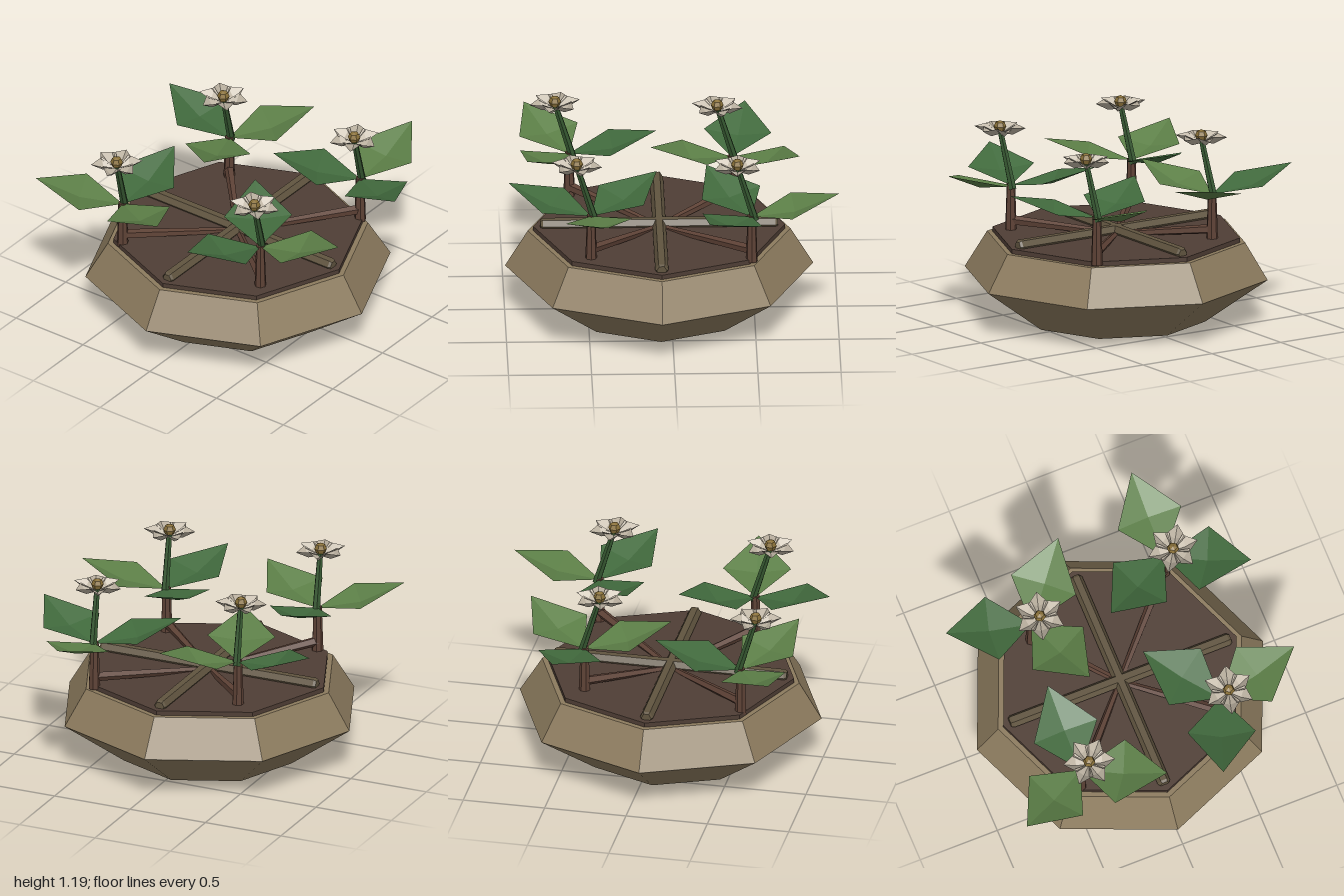
import * as THREE from 'three';

const flat = (color, side = THREE.FrontSide) =>
  new THREE.MeshStandardMaterial({ color, flatShading: true, side });

const MAT = {
  pot: flat(0x8c7b5e),
  soil: flat(0x4f3e35),
  beam: flat(0x60543f),
  wood: flat(0x5e4236),
  stem: flat(0x34552f),
  leafLight: flat(0x5c7f47, THREE.DoubleSide),
  leafDark: flat(0x416a3d, THREE.DoubleSide),
  petal: flat(0xbdb3a2, THREE.DoubleSide),
  core: flat(0x8a7139),
};

function part(name, geometry, material, x = 0, y = 0, z = 0) {
  const m = new THREE.Mesh(geometry, material);
  m.name = name;
  m.position.set(x, y, z);
  return m;
}

const lathe = (profile, sides) =>
  new THREE.LatheGeometry(profile.map(([r, y]) => new THREE.Vector2(r, y)), sides);

// Tapered rod between two points
function rod(name, a, b, rA, rB, sides, material) {
  const from = new THREE.Vector3(...a);
  const dir = new THREE.Vector3(...b).sub(from);
  const m = part(name, new THREE.CylinderGeometry(rB, rA, dir.length(), sides), material);
  m.position.copy(from).addScaledVector(dir, 0.5);
  m.quaternion.setFromUnitVectors(new THREE.Vector3(0, 1, 0), dir.normalize());
  return m;
}

// Folded kite blade along +x: base, two side corners, tip and a low middle point
function blade(length, tipY, sideX, sideY, halfWidth, midX, midY) {
  const g = new THREE.BufferGeometry();
  g.setAttribute('position', new THREE.Float32BufferAttribute([
    0, 0, 0,
    sideX, sideY, halfWidth,
    length, tipY, 0,
    sideX, sideY, -halfWidth,
    midX, midY, 0,
  ], 3));
  g.setIndex([4, 0, 1, 4, 1, 2, 4, 2, 3, 4, 3, 0]);
  g.computeVertexNormals();
  return g;
}

const leafGeo = blade(0.525, 0.145, 0.24, 0.068, 0.205, 0.26, 0.03);
const petalGeo = blade(0.157, 0.042, 0.08, 0.054, 0.06, 0.08, 0.0);

// Plant: trunk, three leaves, leaning stem and a six-petal flower
function plant({ x, z, turn, light, spin }) {
  const g = new THREE.Group();
  g.name = 'plant';
  g.position.set(x, 0, z);
  g.add(rod('trunk', [0, 0.51, 0], [0, 0.81, 0], 0.036, 0.026, 7, MAT.wood));
  g.add(rod('stem', [0.02, 0.78, 0], [-0.082, 1.12, 0.02], 0.025, 0.018, 6, MAT.stem));

  for (let i = 0; i < 3; i++) {
    const leaf = part('leaf', leafGeo, light.includes(i) ? MAT.leafLight : MAT.leafDark, 0, 0.8, 0);
    leaf.rotation.y = -THREE.MathUtils.degToRad(turn + i * 120);
    g.add(leaf);
  }

  const flower = new THREE.Group();
  flower.name = 'flower';
  flower.position.set(-0.087, 1.103, 0.02);
  for (let i = 0; i < 6; i++) {
    const petal = part('petal', petalGeo, MAT.petal);
    petal.rotation.y = -THREE.MathUtils.degToRad(spin + i * 60);
    flower.add(petal);
  }
  flower.add(part('flowerCore', new THREE.SphereGeometry(0.038, 6, 4), MAT.core, 0, 0.046, 0));
  g.add(flower);
  return g;
}

export function createModel() {
  const model = new THREE.Group();
  const cx = -0.07, cz = -0.03;

  // Eight-sided pot and soil
  model.add(part('pot', lathe([[0, 0], [0.545, 0], [0.927, 0.275], [0.79, 0.5], [0, 0.5]], 8), MAT.pot, cx, 0, cz));
  model.add(part('soil', new THREE.CylinderGeometry(0.757, 0.757, 0.04, 8), MAT.soil, cx, 0.508, cz));

  // Crossed beams with bevelled ends
  const beamGeo = lathe([[0, -0.715], [0.03, -0.715], [0.04, -0.7], [0.04, 0.7], [0.03, 0.715], [0, 0.715]], 6);
  beamGeo.rotateY(Math.PI / 6);
  beamGeo.rotateX(Math.PI / 2);
  for (const turn of [0, Math.PI / 2]) {
    const beam = part('beam', beamGeo, MAT.beam, cx, 0.54, cz);
    beam.rotation.y = turn;
    model.add(beam);
  }

  // Plants, each with a root running to the middle
  const plants = [
    { x: 0.475, z: 0.48, turn: 0, light: [0], spin: 32 },
    { x: -0.49, z: 0.45, turn: 80, light: [0], spin: 15 },
    { x: 0.375, z: -0.425, turn: 40, light: [0, 1], spin: 15 },
    { x: -0.6, z: -0.5, turn: 0, light: [1, 2], spin: 45 },
  ];
  for (const p of plants) {
    model.add(plant(p));
    model.add(rod('root', [cx, 0.52, cz], [p.x, 0.585, p.z], 0.018, 0.03, 5, MAT.wood));
  }
  return model;
}
